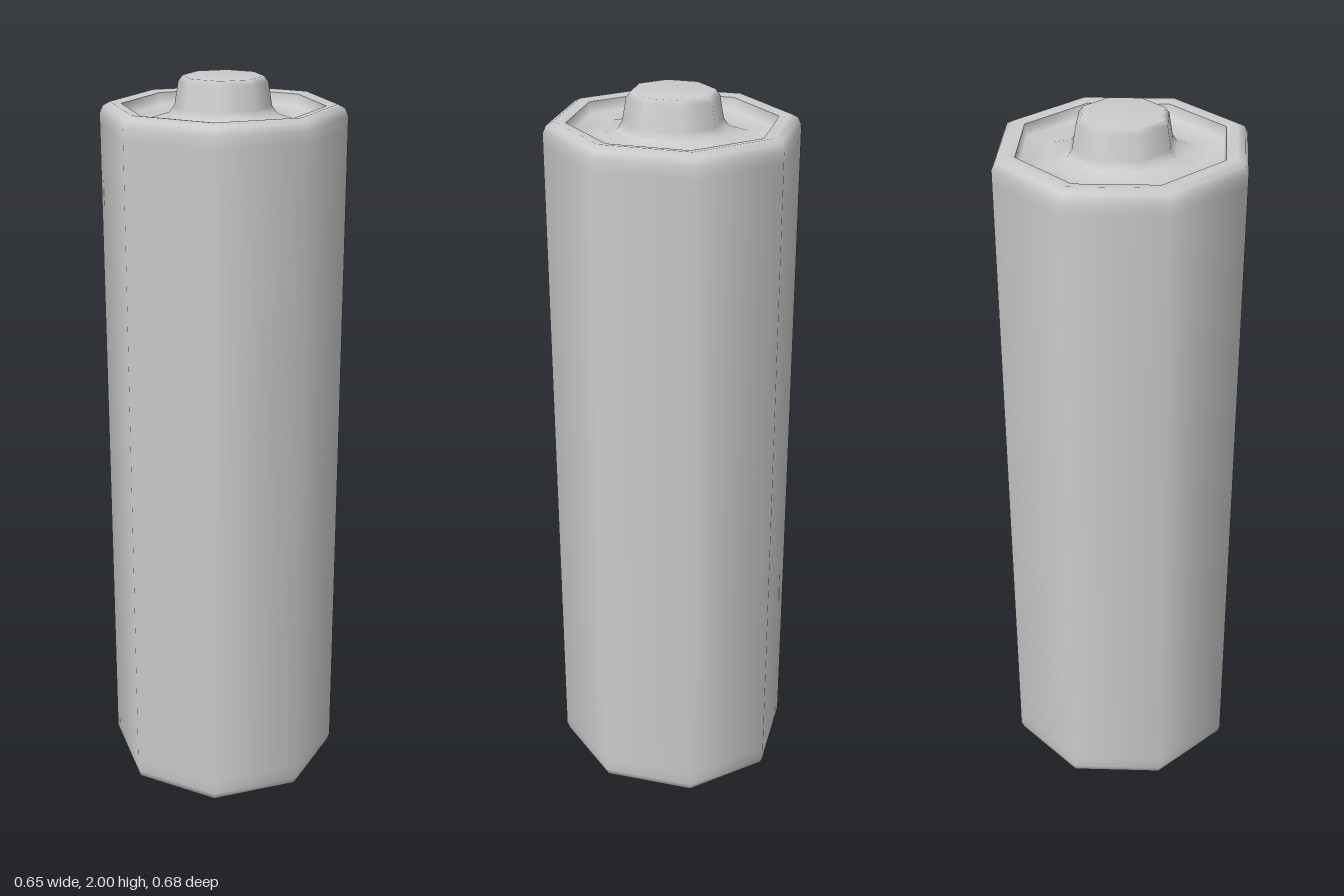
import * as THREE from 'three';

const material = new THREE.MeshStandardMaterial({ color: 0xcccccc, side: THREE.DoubleSide });

// Smooth-shaded eight-sided turned part, slightly deeper than wide
function turned(name, profile) {
  const points = profile.map(([r, y]) => new THREE.Vector2(r, y));
  const geometry = new THREE.LatheGeometry(points, 8);
  geometry.scale(1, 1, 1.04);
  const mesh = new THREE.Mesh(geometry, material);
  mesh.name = name;
  return mesh;
}

export function createModel() {
  const group = new THREE.Group();
  group.name = 'battery';

  // Casing: closed base, chamfered edges, straight wall and raised rim
  group.add(turned('casing', [
    [0, 0], [0.295, 0], [0.318, 0.014], [0.325, 0.035], [0.325, 0.07],
    [0.325, 1.87], [0.325, 1.9], [0.316, 1.92], [0.297, 1.93], [0.267, 1.925],
  ]));

  // Sunken top: inner rim wall and floor flaring up into the terminal
  group.add(turned('recessedTop', [
    [0.267, 1.925], [0.262, 1.893], [0.19, 1.89], [0.14, 1.905], [0.127, 1.925],
    [0.117, 1.985], [0.105, 2], [0, 2],
  ]));

  return group;
}
